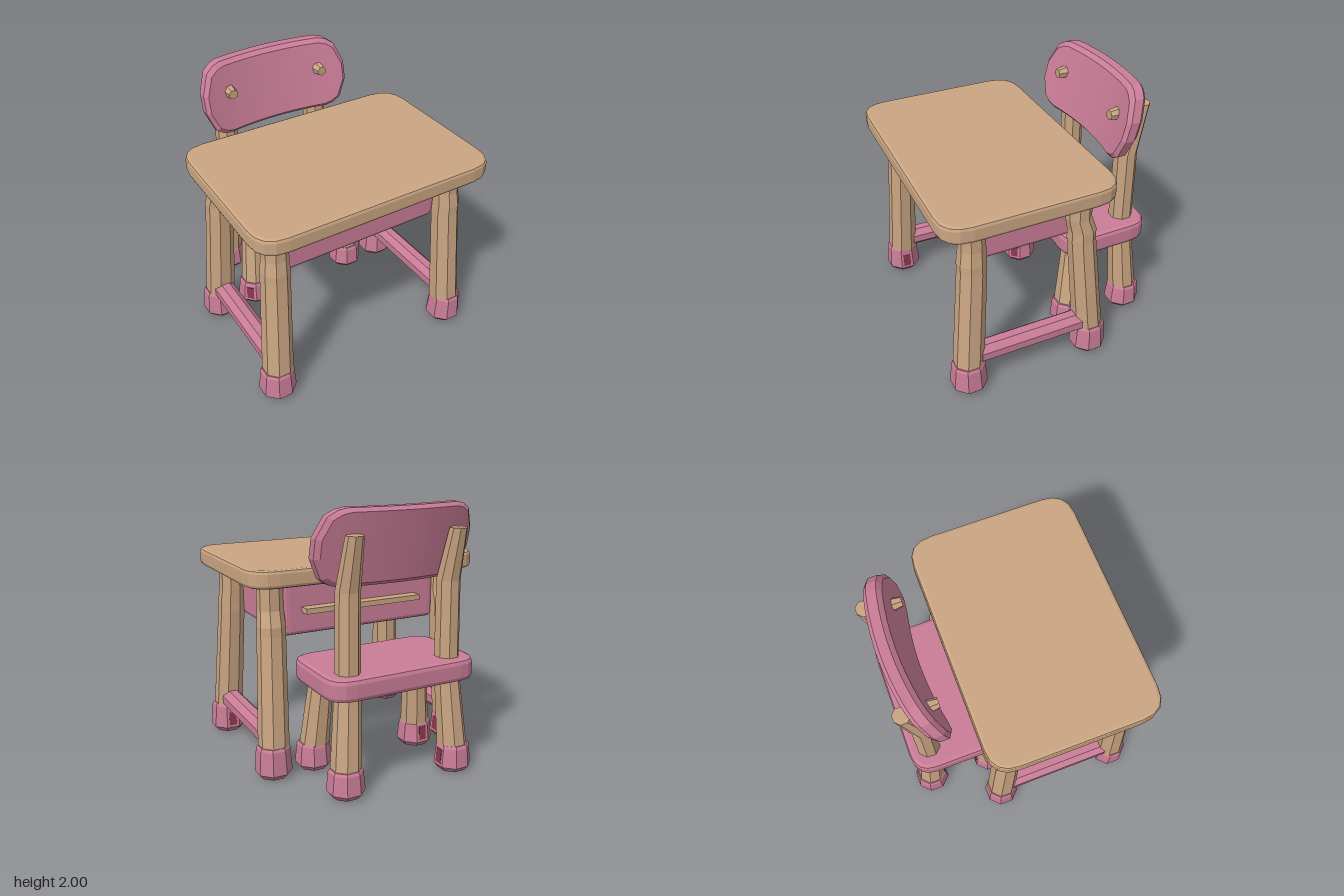
import * as THREE from 'three';

const wood = new THREE.MeshStandardMaterial({ color: 0xcaa582 });
wood.name = 'tan wood';
const pink = new THREE.MeshStandardMaterial({ color: 0xca7d97 });
pink.name = 'dusty pink';
const darkRed = new THREE.MeshStandardMaterial({ color: 0x8a374b });
darkRed.name = 'dark red';

// Faceted mesh
function part(parent, name, geometry, material) {
  const g = geometry.index ? geometry.toNonIndexed() : geometry;
  g.computeVertexNormals();
  const mesh = new THREE.Mesh(g, material);
  mesh.name = name;
  parent.add(mesh);
  return mesh;
}

function roundedRect(w, d, r, Type = THREE.Shape) {
  const s = new Type(), x = w / 2, y = d / 2;
  s.moveTo(-x + r, -y);
  s.lineTo(x - r, -y);
  s.quadraticCurveTo(x, -y, x, -y + r);
  s.lineTo(x, y - r);
  s.quadraticCurveTo(x, y, x - r, y);
  s.lineTo(-x + r, y);
  s.quadraticCurveTo(-x, y, -x, y - r);
  s.lineTo(-x, -y + r);
  s.quadraticCurveTo(-x, -y, -x + r, -y);
  return s;
}

// Horizontal board with rounded corners and chamfered edges; border > 0 leaves only a frame
function slab(x0, x1, y0, y1, z0, z1, r, bevel, border = 0) {
  const shape = roundedRect(x1 - x0, z1 - z0, r);
  if (border) shape.holes.push(roundedRect(x1 - x0 - 2 * border, z1 - z0 - 2 * border, r * 0.8, THREE.Path));
  const g = new THREE.ExtrudeGeometry(shape, {
    depth: y1 - y0 - 2 * bevel, curveSegments: 4, bevelEnabled: bevel > 0,
    bevelThickness: bevel, bevelSize: bevel, bevelOffset: -bevel, bevelSegments: 2
  });
  g.rotateX(-Math.PI / 2);
  return g.translate((x0 + x1) / 2, y0 + bevel, (z0 + z1) / 2);
}

// Eight-sided post through rings of [x, y, z, radius], bottom to top
function post(rings) {
  const n = rings.length - 1;
  const g = new THREE.CylinderGeometry(1, 1, 1, 8, n);
  g.rotateY(Math.PI / 8);
  const p = g.attributes.position;
  for (let i = 0; i < p.count; i++) {
    const [x, y, z, r] = rings[Math.round((p.getY(i) + 0.5) * n)];
    p.setXYZ(i, x + p.getX(i) * r, y, z + p.getZ(i) * r);
  }
  return g;
}

// Rubber foot with a dark plug underneath and dark patches on chosen sides (eighths of a turn from +z)
function foot(parent, x, z, h, patches) {
  part(parent, 'foot', post([[x, 0.01, z, 0.105], [x, 0.05, z, 0.139], [x, h - 0.02, z, 0.125], [x, h, z, 0.112]]), pink);
  part(parent, 'footPlug', post([[x, 0.004, z, 0.06], [x, 0.012, z, 0.06]]), darkRed);
  for (const side of patches) {
    const g = new THREE.BoxGeometry(0.06, 0.11, 0.008);
    g.rotateX(-0.07).translate(0, 0.125, 0.121).rotateY(side * Math.PI / 4).translate(x, 0, z);
    part(parent, 'footPatch', g, darkRed);
  }
}

// Backrest: board rounded at the corners, curved forward at the ends and leaning back
function backrestGeometry() {
  const hw = 0.615, hh = 0.27, d = 0.13, r = 0.2;
  const g = new THREE.BoxGeometry(2 * hw, 2 * hh, d, 20, 4, 3);
  const p = g.attributes.position;
  for (let i = 0; i < p.count; i++) {
    let x = p.getX(i), y = p.getY(i), z = p.getZ(i);
    const over = Math.max(0, Math.abs(x) - (hw - r));
    y *= (hh - r + Math.sqrt(Math.max(0, r * r - over * over))) / hh;
    if (Math.abs(z) > d * 0.4) {
      x *= 0.95;
      y *= 0.9;
    } else z *= 1.6;
    const bend = 0.09 * (x / hw) ** 2;
    p.setXYZ(i, x, y + 1.73, z - 0.715 + bend - 0.25 * y);
  }
  return g;
}

export function createModel() {
  const model = new THREE.Group();
  model.name = 'deskAndChair';
  const desk = new THREE.Group();
  desk.name = 'desk';
  const chair = new THREE.Group();
  chair.name = 'chair';
  model.add(desk, chair);

  // Desk top with a hollow underside
  part(desk, 'deskTop', slab(-0.94, 0.94, 1.48, 1.56, -0.39, 0.91, 0.2, 0.025), wood);
  part(desk, 'deskTopRim', slab(-0.94, 0.94, 1.43, 1.53, -0.39, 0.91, 0.2, 0.025, 0.09), wood);

  // Storage box, dark seam and rear handle
  part(desk, 'storageBox', slab(-0.65, 0.65, 1.03, 1.5, -0.2, 0.64, 0.06, 0.03), pink);
  part(desk, 'boxSeam', slab(-0.655, 0.655, 1.41, 1.46, -0.205, 0.645, 0.06, 0), darkRed);
  part(desk, 'handle', new THREE.BoxGeometry(0.96, 0.04, 0.1).translate(0.02, 1.22, -0.235), wood);

  // Desk legs, feet and side rails
  for (const s of [-1, 1]) {
    const out = s < 0 ? 0.02 : 0;
    for (const front of [true, false]) {
      const zb = front ? 0.735 : -0.265;
      const zm = front ? 0.66 + out : -0.185 - out;
      const zt = front ? 0.65 + out : -0.155 - out;
      part(desk, 'deskLeg', post([
        [s * 0.775, 0.15, zb, 0.117], [s * 0.735, 1.06, zm, 0.105],
        [s * 0.735, 1.13, zm, 0.104], [s * 0.727, 1.24, zt, 0.096], [s * 0.727, 1.49, zt, 0.094]
      ]), wood);
      let patches = front ? [4] : [];
      if (s < 0) patches = front ? [2] : [1, 2];
      foot(desk, s * 0.78, zb, 0.25, patches);
    }
    const rail = new THREE.CylinderGeometry(0.083, 0.083, 0.84, 8);
    rail.rotateY(Math.PI / 8).rotateX(Math.PI / 2 - 0.015).translate(s * 0.77, 0.29, 0.225);
    part(desk, 'sideRail', rail, pink);
  }

  // Chair seat and backrest
  part(chair, 'seat', slab(-0.595, 0.595, 0.72, 0.885, -0.89, -0.17, 0.17, 0.035), pink);
  part(chair, 'backrest', backrestGeometry(), pink);

  // Chair legs, back posts and backrest knobs
  for (const s of [-1, 1]) {
    part(chair, 'chairFrontLeg', post([[s * 0.455, 0.12, -0.265, 0.115], [s * 0.405, 0.76, -0.325, 0.09]]), wood);
    part(chair, 'chairBackPost', post([
      [s * 0.455, 0.12, -0.785, 0.115], [s * 0.41, 0.8, -0.73, 0.092],
      [s * 0.405, 1.45, -0.725, 0.088], [s * 0.405, 1.83, -0.822, 0.064]
    ]), wood);
    foot(chair, s * 0.455, -0.265, 0.215, s < 0 ? [1, 7, 4] : []);
    foot(chair, s * 0.455, -0.785, 0.215, s < 0 ? [2] : []);
    const knob = new THREE.CylinderGeometry(0.038, 0.058, 0.13, 7);
    knob.rotateX(Math.PI / 2).translate(s * 0.39, 1.775, -0.63);
    part(chair, 'knob', knob, wood);
  }
  return model;
}
